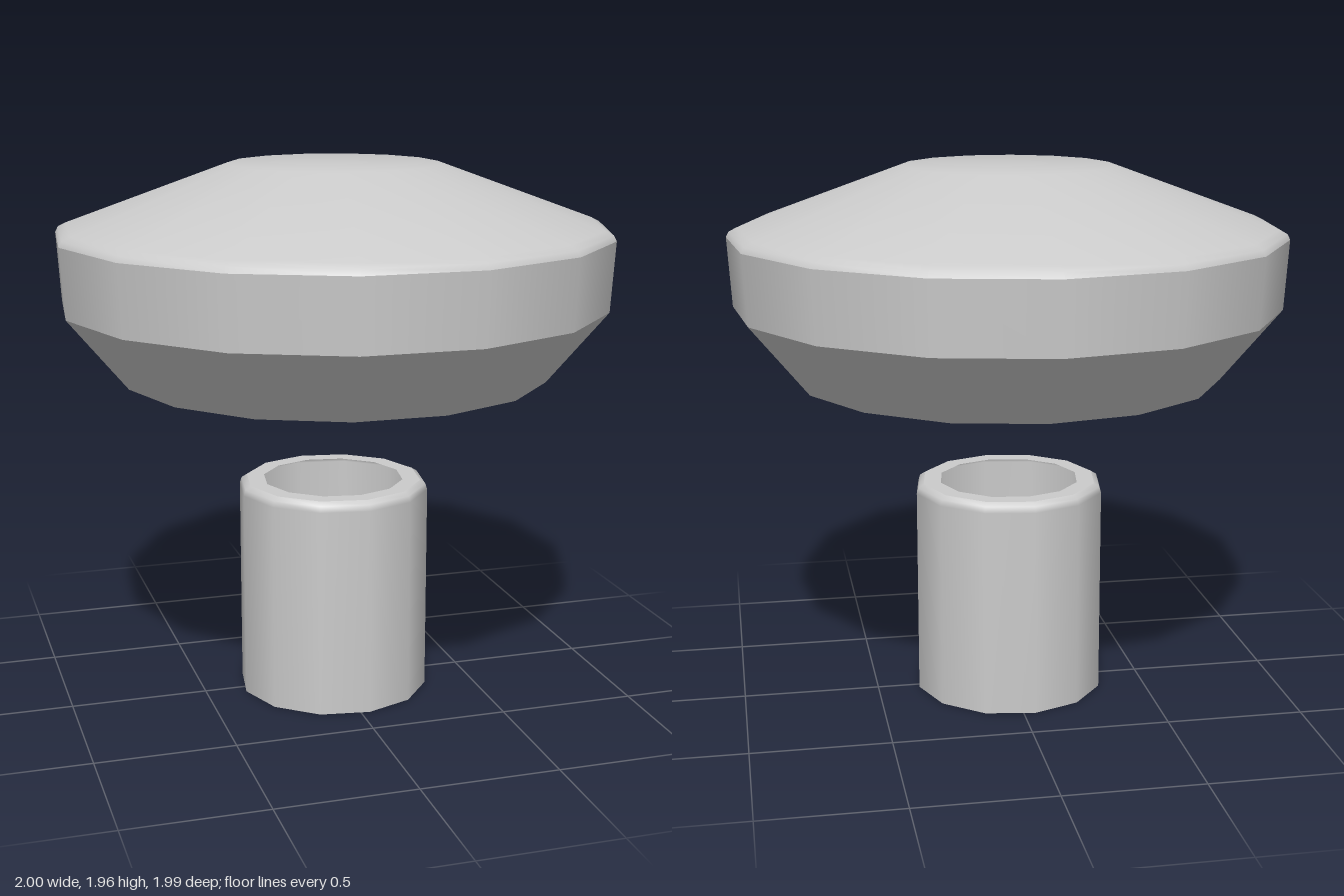
import * as THREE from 'three';

const material = new THREE.MeshStandardMaterial({ color: 0xcccccc, side: THREE.DoubleSide });

// Revolves one smooth band of a profile, given as [radius, height] from bottom to top
function band(name, profile, sides, startAngle) {
  const points = profile.map(([r, y]) => new THREE.Vector2(r, y));
  const mesh = new THREE.Mesh(new THREE.LatheGeometry(points, sides, startAngle), material);
  mesh.name = name;
  return mesh;
}

export function createModel() {
  const model = new THREE.Group();
  model.name = 'mushroom';

  // Hollow cap: separate bands keep the ridges between them sharp
  const cap = new THREE.Group();
  cap.name = 'cap';
  const capBands = {
    capUnderside: [[0.775, 1.2], [0.99, 1.46]],
    capSide: [[0.99, 1.46], [1.005, 1.71]],
    capTop: [[1.005, 1.71], [0.995, 1.73], [0.965, 1.745], [0.38, 1.96], [0, 1.96]],
  };
  for (const [name, profile] of Object.entries(capBands)) {
    cap.add(band(name, profile, 15, Math.PI));
  }
  cap.position.z = 0.011;
  model.add(cap);

  // Hollow stem with a rounded lip and an open top
  const stem = new THREE.Group();
  stem.name = 'stem';
  const turn = THREE.MathUtils.degToRad(36);
  stem.add(band('stemWall', [[0.352, 0], [0.352, 0.765], [0.345, 0.787], [0.325, 0.8]], 12, turn));
  stem.add(band('stemLip', [[0.325, 0.8], [0.26, 0.8]], 12, turn));
  stem.position.set(-0.004, 0, 0.011);
  model.add(stem);

  return model;
}
